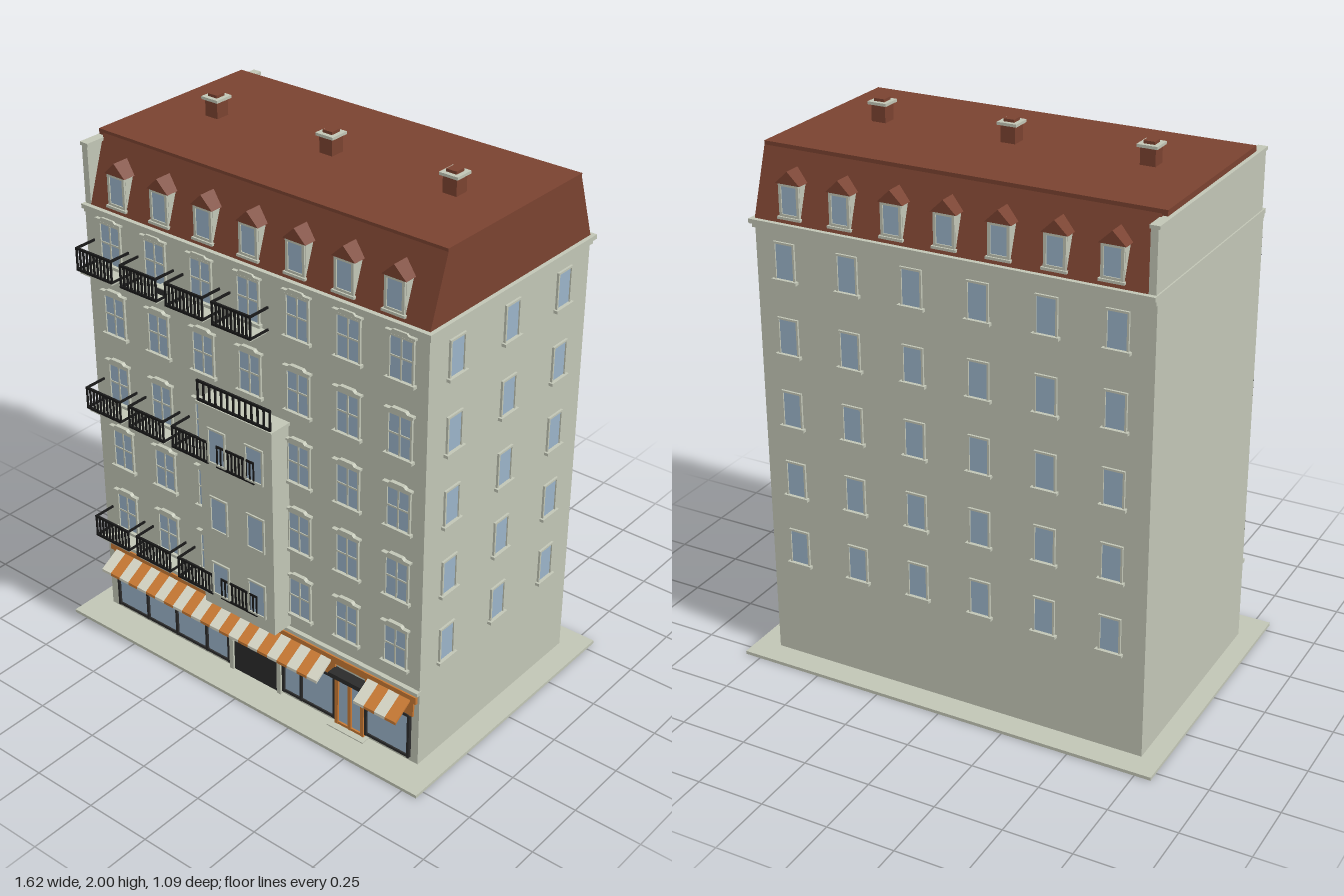
import * as THREE from 'three';

const mat = (name, color) => {
  const m = new THREE.MeshStandardMaterial({ color });
  m.name = name;
  return m;
};

export function createModel() {
  const stone = mat('stone', 0xc1c5b5);
  const roofRed = mat('roof tile', 0x7a4230);
  const glass = mat('glass', 0x9ab3c8);
  const orange = mat('orange paint', 0xc97a34);
  const cream = mat('cream cloth', 0xd6d6c6);
  const dark = mat('dark metal', 0x2b2b2b);
  const iron = mat('railing iron', 0x191919);

  const model = new THREE.Group();
  model.name = 'cornerApartmentBuilding';

  const group = (name, parent = model) => {
    const g = new THREE.Group();
    g.name = name;
    parent.add(g);
    return g;
  };
  const add = (name, geo, material, parent = model) => {
    const m = new THREE.Mesh(geo, material);
    m.name = name;
    parent.add(m);
    return m;
  };
  // Box given by its limits on each axis
  const box = (name, material, x0, x1, y0, y1, z0, z1, parent = model) => {
    const m = add(name, new THREE.BoxGeometry(x1 - x0, y1 - y0, z1 - z0), material, parent);
    m.position.set((x0 + x1) / 2, (y0 + y1) / 2, (z0 + z1) / 2);
    return m;
  };
  const polygon = pts => new THREE.Shape(pts.map(p => new THREE.Vector2(...p)));
  const extrude = (shape, depth) => new THREE.ExtrudeGeometry(shape, { depth, bevelEnabled: false });

  const L = -0.735, R = 0.72, F = 0.413, B = -0.453;

  // Pavement, walls and cornices
  box('pavement', stone, -0.81, 0.81, 0, 0.012, -0.545, 0.54);
  box('walls', stone, L, R, 0.012, 1.66, B, F);
  box('eavesCornice', stone, L, 0.735, 1.66, 1.676, -0.47, 0.43);
  box('eavesMoulding', stone, L, 0.728, 1.645, 1.66, -0.46, 0.42);
  box('shopCornice', stone, L, 0.722, 0.312, 0.326, F - 0.01, 0.43);

  // Mansard roof, its flat top and the fire wall on one end
  const roof = add('mansardRoof', extrude(polygon([
    [-F, 1.676], [0.453, 1.676], [0.372, 1.915], [-0.333, 1.915]]), 1.425), roofRed);
  roof.rotation.y = Math.PI / 2;
  roof.position.x = -0.705;
  box('roofTop', roofRed, -0.725, R, 1.9, 1.92, -0.375, 0.335);
  box('fireWall', stone, -0.73, -0.705, 1.676, 1.885, B, F);
  box('fireWallCoping', stone, L, -0.7, 1.884, 1.896, B, F + 0.003);

  // Chimneys
  for (const x of [-0.5, 0, 0.495]) {
    const c = group('chimney');
    box('chimneyStack', roofRed, x - 0.027, x + 0.027, 1.915, 1.982, -0.027, 0.027, c);
    box('chimneyCap', stone, x - 0.036, x + 0.036, 1.98, 1.99, -0.036, 0.036, c);
    box('chimneyPot', roofRed, x - 0.02, x + 0.02, 1.99, 2, -0.02, 0.02, c);
  }

  // Frame: a rectangle with a hole, standing on y = 0
  const frameGeo = (w, h, border, depth) => {
    const a = w / 2, o = a + border;
    const s = polygon([[-o, -border], [o, -border], [o, h + border], [-o, h + border]]);
    s.holes.push(new THREE.Path([[-a, 0], [-a, h], [a, h], [a, 0]].map(p => new THREE.Vector2(...p))));
    return extrude(s, depth);
  };

  // Dormers, built facing +z
  const dormer = parent => {
    const d = group('dormer', parent);
    box('dormerBody', stone, -0.04, 0.04, 1.69, 1.815, 0.3, 0.405, d);
    const gable = add('dormerRoof', extrude(polygon([[-0.047, 1.812], [0.047, 1.812], [0, 1.857]]), 0.115), roofRed, d);
    gable.position.z = 0.3;
    box('dormerGlass', glass, -0.029, 0.029, 1.707, 1.803, 0.404, 0.408, d);
    add('dormerFrame', frameGeo(0.058, 0.096, 0.01, 0.01), stone, d).position.set(0, 1.707, 0.402);
    box('dormerSill', stone, -0.045, 0.045, 1.69, 1.699, 0.4, 0.418, d);
    return d;
  };
  for (let i = -3; i <= 3; i++) {
    dormer(model).position.x = i * 0.194;
    const back = dormer(model);
    back.rotation.y = Math.PI;
    back.position.set(i * 0.194, 0, -0.04);
  }

  // Windows, built facing +z with the sill line at y = 0
  const plainFrame = frameGeo(0.067, 0.125, 0.007, 0.008);
  const wideFrame = frameGeo(0.085, 0.145, 0.007, 0.008);
  const lintel = extrude(polygon([[-0.058, 0], [0.058, 0], [0.058, 0.008], [0.035, 0.008],
    [0.027, 0.016], [-0.027, 0.016], [-0.035, 0.008], [-0.058, 0.008]]), 0.015);
  const makeWindow = (x, y, z, turn, wide, sill = true) => {
    const g = group('window');
    const w = wide ? 0.0425 : 0.0335, h = wide ? 0.145 : 0.125;
    box('windowGlass', glass, -w, w, 0, h, -0.002, 0.003, g);
    add('windowFrame', wide ? wideFrame : plainFrame, stone, g);
    if (sill) box('windowSill', stone, -w - 0.015, w + 0.015, -0.01, 0.001, 0, 0.016, g);
    if (wide) {
      box('windowMullion', stone, -0.003, 0.003, 0, h, 0, 0.006, g);
      box('windowTransom', stone, -w, w, 0.074, 0.08, 0, 0.006, g);
      add('windowLintel', lintel, stone, g).position.y = 0.157;
    }
    g.position.set(x, y, z);
    g.rotation.y = turn;
  };
  for (let row = 0; row < 5; row++) {
    const y = 0.393 + row * 0.271;
    for (let c = -3; c <= 3; c++) {
      if (c !== 0 || row > 2) makeWindow(c * 0.206, y, F, 0, true);
    }
    for (let c = -2.5; c <= 2.5; c++) makeWindow(c * 0.243, y, B, Math.PI, false);
    for (const z of [0.275, -0.016, -0.307]) makeWindow(R, y, z, Math.PI / 2, false);
    if (row < 3) for (const x of [-0.083, 0.083]) makeWindow(x, y, 0.495, 0, false, false);
  }

  // Central bay with its terrace railing
  box('bay', stone, -0.163, 0.16, 0.335, 1.142, F - 0.01, 0.497);
  box('bayCap', stone, -0.17, 0.167, 1.142, 1.154, F - 0.01, 0.505);
  const railing = (name, x0, x1, y0, y1, z, count, parent = model) => {
    const g = group(name, parent);
    box('topRail', iron, x0, x1, y1 - 0.008, y1, z - 0.004, z + 0.004, g);
    box('bottomRail', iron, x0, x1, y0, y0 + 0.008, z - 0.004, z + 0.004, g);
    for (let i = 0; i < count; i++) {
      const x = x0 + 0.003 + (x1 - x0 - 0.006) * i / (count - 1);
      box('baluster', iron, x - 0.003, x + 0.003, y0, y1, z - 0.003, z + 0.003, g);
    }
  };
  railing('terraceRailing', -0.163, 0.16, 1.156, 1.235, 0.499, 13);

  // Balconies on alternate floors
  for (const y of [0.368, 0.91, 1.452]) {
    for (let c = 0; c < 4; c++) {
      const x = -0.619 + c * 0.206;
      const g = group('balcony');
      box('balconySlab', stone, x - 0.075, x + 0.075, y, y + 0.011, F - 0.01, 0.494, g);
      railing('balconyRailing', x - 0.084, x + 0.084, y + 0.011, y + 0.098, 0.498, 11, g);
      for (const s of [-1, 1]) {
        const e = x + s * 0.081;
        box('sideRail', iron, e - 0.003, e + 0.003, y + 0.09, y + 0.098, F - 0.01, 0.498, g);
        box('sideBottomRail', iron, e - 0.003, e + 0.003, y + 0.011, y + 0.018, F - 0.01, 0.498, g);
      }
    }
  }

  // Small wall unit beside the top balconies
  box('wallUnit', stone, -0.378, -0.315, 1.448, 1.488, F - 0.01, 0.452);
  box('wallUnitGrille', dark, -0.373, -0.33, 1.465, 1.485, 0.45, 0.455);

  // Shop front fascia
  box('fasciaTop', orange, -0.715, 0.713, 0.272, 0.3, F - 0.01, 0.424);
  for (const [x0, x1] of [[-0.7, 0.365], [0.495, 0.7]]) {
    box('fasciaLower', orange, x0, x1, 0.212, 0.272, F - 0.01, 0.421);
  }

  // Shop windows with dark frames
  const shopWindow = (...xs) => {
    const g = group('shopWindow');
    const a = xs[0], b = xs[xs.length - 1];
    box('shopGlass', glass, a, b, 0.035, 0.212, F - 0.01, 0.418, g);
    for (const x of xs) box('shopMullion', dark, x - 0.005, x + 0.005, 0.03, 0.212, F - 0.01, 0.426, g);
    for (const y of [0.03, 0.204]) box('shopRail', dark, a, b, y, y + 0.01, F - 0.01, 0.424, g);
  };
  shopWindow(-0.685, -0.535, -0.387, -0.238, -0.13);
  shopWindow(0.13, 0.212, 0.362);
  shopWindow(0.502, 0.685);

  // Gate with pilasters and a shallow pediment
  box('gate', dark, -0.105, 0.102, 0.012, 0.212, F - 0.01, 0.42);
  for (const x of [-0.114, 0.111]) box('gatePilaster', stone, x - 0.009, x + 0.009, 0.012, 0.212, F - 0.01, 0.428);
  const pediment = add('gatePediment', extrude(polygon([
    [-0.08, 0.28], [-0.035, 0.28], [0, 0.29], [0.035, 0.28], [0.08, 0.28], [0, 0.313]]), 0.025), stone);
  pediment.position.z = F;
  box('gateLamp', dark, -0.03, 0.03, 0.278, 0.286, F, 0.436);

  // Shop door with a dark canopy
  box('doorGlass', glass, 0.375, 0.488, 0.015, 0.235, F - 0.01, 0.418);
  for (const x of [0.374, 0.431, 0.487]) box('doorStile', orange, x - 0.007, x + 0.007, 0.012, 0.235, F - 0.01, 0.426);
  for (const y of [0.012, 0.223]) box('doorRail', orange, 0.37, 0.49, y, y + 0.014, F - 0.01, 0.425);
  box('doorStep', stone, 0.35, 0.51, 0.01, 0.016, F, 0.45);
  box('doorCanopy', dark, 0.362, 0.503, 0.236, 0.254, F, 0.455);

  // Striped awnings: sloping cloth strips
  const strip = extrude(polygon([[-0.42, 0.284], [-0.42, 0.278], [-0.503, 0.225], [-0.503, 0.236]]), 0.045);
  const awning = (start, count) => {
    const g = group('awning');
    for (let i = 0; i < count; i++) {
      const s = add('awningStripe', strip, i % 2 ? orange : cream, g);
      s.rotation.y = Math.PI / 2;
      s.position.x = start + i * 0.045;
    }
  };
  awning(-0.685, 23);
  awning(0.51, 4);

  return model;
}
